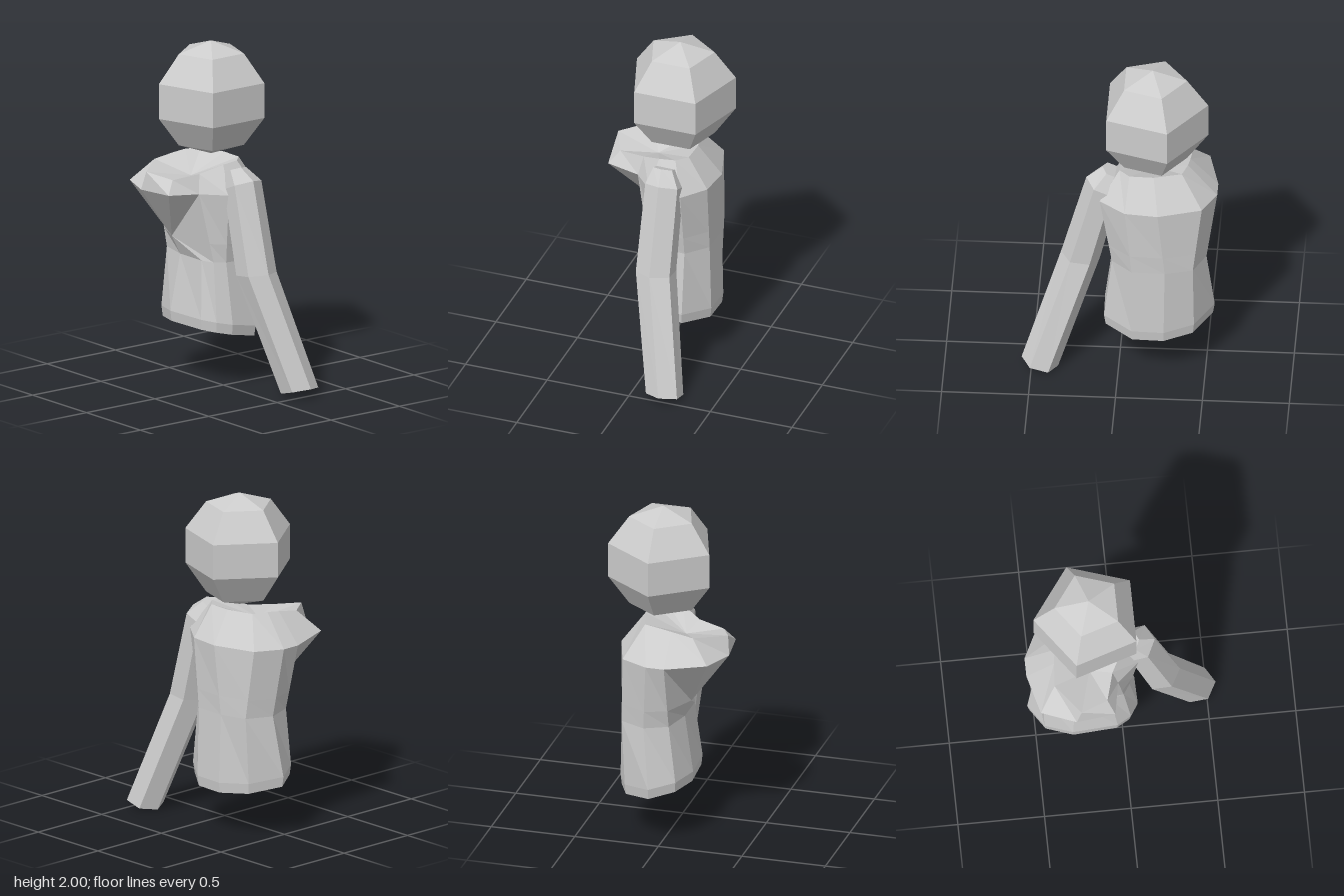
import * as THREE from 'three';

// Closed faceted skin over stacked rings (bottom to top, counter-clockwise from above)
function loft(rings, topCentre) {
  const pos = [];
  const tri = (...pts) => {
    const [a, b, c] = pts.map((p) => new THREE.Vector3(...p));
    if (b.clone().sub(a).cross(c.clone().sub(a)).length() > 1e-7) pts.forEach((p) => pos.push(...p));
  };
  const mean = (r) => [0, 1, 2].map((k) => r.reduce((s, p) => s + p[k], 0) / r.length);
  const n = rings[0].length, bottom = rings[0], top = rings[rings.length - 1];
  const low = mean(bottom), high = topCentre || mean(top);
  for (let i = 0; i < n; i++) {
    const j = (i + 1) % n;
    for (let k = 0; k + 1 < rings.length; k++) {
      const b = rings[k], t = rings[k + 1];
      tri(b[i], b[j], t[i]);
      tri(b[j], t[j], t[i]);
    }
    tri(low, bottom[j], bottom[i]);
    tri(high, top[i], top[j]);
  }
  const g = new THREE.BufferGeometry();
  g.setAttribute('position', new THREE.Float32BufferAttribute(pos, 3));
  g.computeVertexNormals();
  return g;
}

// Six-sided limb ring, tilted along z
function limbRing(x, y, z, rx, rz, tilt) {
  return Array.from({ length: 6 }, (_, i) => {
    const a = (i / 6) * Math.PI * 2;
    const dz = Math.cos(a) * rz;
    return [x + Math.sin(a) * rx * 1.1, y + dz * tilt, z + dz];
  });
}

export function createModel() {
  const group = new THREE.Group();
  const clay = new THREE.MeshStandardMaterial({ color: 0xcccccc, flatShading: true });
  clay.name = 'light grey';
  const add = (name, geometry) => {
    const mesh = new THREE.Mesh(geometry, clay);
    mesh.name = name;
    group.add(mesh);
    return mesh;
  };

  // Head: five-sided ball with a corner at the back
  add('head', new THREE.SphereGeometry(0.335, 5, 5, -Math.PI / 2)).position.set(0.06, 1.665, -0.19);

  // Torso: slanted hem, waist, jutting chest, shoulders; repeated points close a facet to a corner
  const hemPlan = [
    [0.0, 0.088], [0.17, 0.085], [0.29, -0.08], [0.295, -0.265], [0.22, -0.435], [0.05, -0.545],
    [-0.09, -0.46], [-0.15, -0.3], [-0.15, -0.3], [-0.13, -0.04], [-0.13, -0.04], [-0.08, 0.04],
  ];
  const hem = hemPlan.map(([x, z]) => [x, 0.377 - 0.19 * x, z]);
  const hemBottom = hemPlan.map(([x, z]) => [
    0.06 + (x - 0.06) * 0.97, 0.316 - 0.19 * x, -0.22 + (z + 0.22) * 0.97,
  ]);
  const waist = [
    [-0.01, 0.74, 0.04], [0.17, 0.73, 0.04], [0.28, 0.73, -0.08], [0.285, 0.73, -0.27], [0.24, 0.73, -0.43], [0.09, 0.73, -0.5],
    [-0.05, 0.74, -0.46], [-0.095, 0.74, -0.28], [-0.095, 0.74, -0.28], [-0.095, 0.74, -0.08], [-0.095, 0.74, -0.08], [-0.07, 0.74, 0.0],
  ];
  const chest = [
    [-0.03, 1.15, 0.09], [0.17, 1.145, 0.11], [0.28, 1.14, -0.04], [0.3, 1.14, -0.23], [0.22, 1.14, -0.48], [0.06, 1.14, -0.56],
    [-0.05, 1.14, -0.56], [-0.29, 1.165, -0.5], [-0.365, 1.16, -0.3], [-0.34, 1.165, -0.075], [-0.145, 1.15, -0.04], [-0.145, 1.15, -0.04],
  ];
  // Just above the waist the chest overhang runs down to a single corner
  const underChest = waist.map((p, i) =>
    i >= 7 && i <= 10 ? [-0.14, 0.85, -0.3] : p.map((v, k) => v + (chest[i][k] - v) * 0.27));
  const shoulders = [
    [0.0, 1.31, 0.0], [0.1, 1.32, 0.0], [0.16, 1.32, -0.06], [0.165, 1.32, -0.2], [0.12, 1.32, -0.36], [0.03, 1.32, -0.39],
    [-0.05, 1.31, -0.4], [-0.18, 1.29, -0.41], [-0.35, 1.27, -0.27], [-0.28, 1.24, -0.115], [-0.12, 1.26, -0.07], [-0.12, 1.26, -0.07],
  ];
  add('torso', loft([hemBottom, hem, waist, underChest, chest, shoulders], [-0.08, 1.22, -0.2]));

  // Arm: forearm and upper arm meeting at the elbow
  const elbow = limbRing(0.065, 0.7, 0.225, 0.108, 0.113, 0.12);
  add('forearm', loft([limbRing(0.202, 0.03, 0.452, 0.1, 0.105, 0.27), elbow]));
  add('upperArm', loft([
    elbow,
    limbRing(0.067, 1.2, 0.095, 0.103, 0.098, 0.42),
    limbRing(0.05, 1.285, 0.05, 0.06, 0.05, 0.42),
  ]));

  return group;
}
